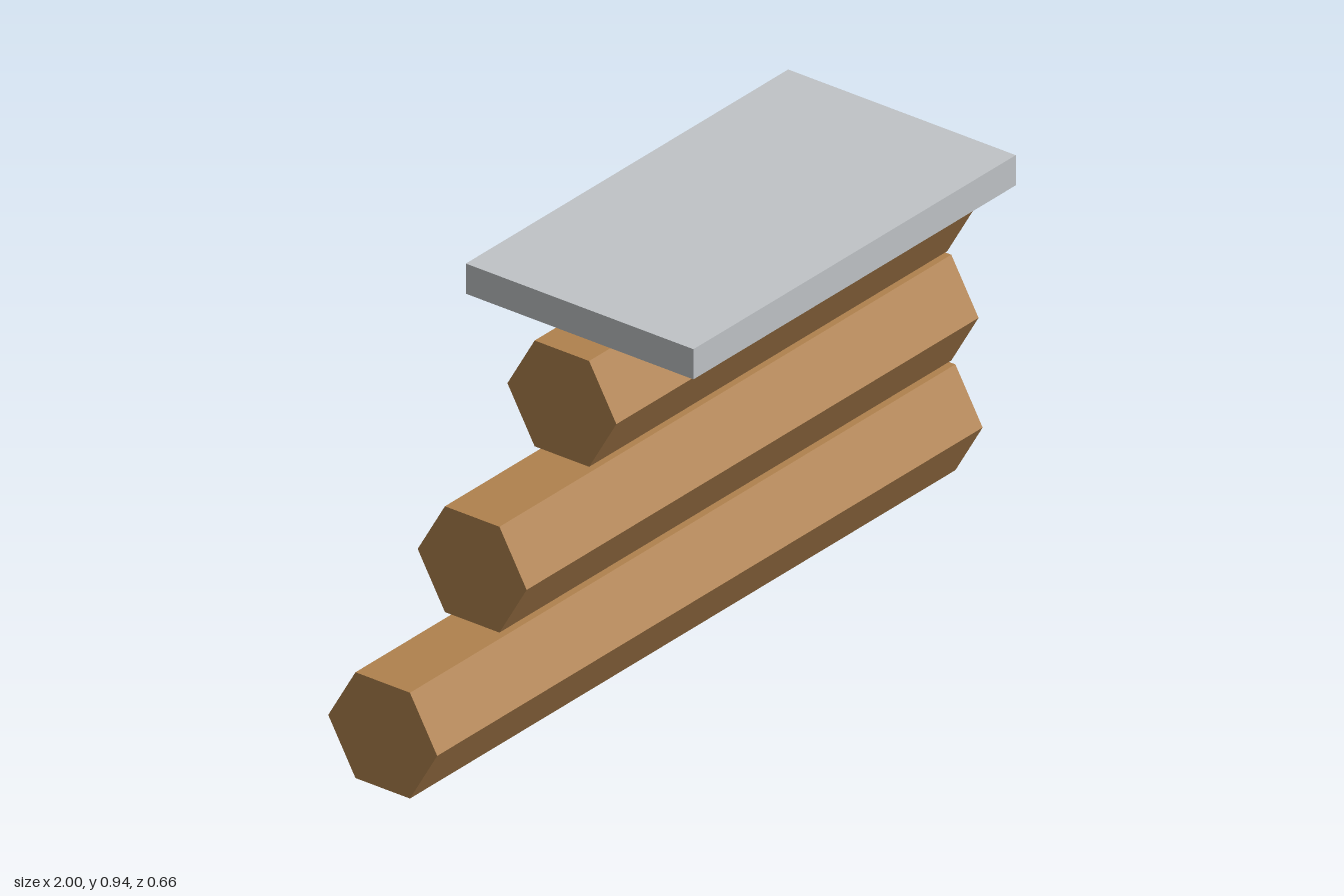
import * as THREE from 'three';

export function createModel() {
  const model = new THREE.Group();
  const wood = new THREE.MeshStandardMaterial({ color: 0xb0824e, flatShading: true });
  wood.name = 'wood';
  const stone = new THREE.MeshStandardMaterial({ color: 0xc0c4c7, flatShading: true });
  stone.name = 'pale grey';

  // Three stacked hexagonal logs, each shorter than the one below
  const radius = 0.158;
  const logs = [
    { name: 'bottomLog', x0: -1, x1: 1, y: 0.137 },
    { name: 'middleLog', x0: -0.672, x1: 0.985, y: 0.427 },
    { name: 'topLog', x0: -0.343, x1: 0.97, y: 0.716 },
  ];
  for (const { name, x0, x1, y } of logs) {
    const geometry = new THREE.CylinderGeometry(radius, radius, x1 - x0, 6);
    geometry.rotateZ(Math.PI / 2);
    const log = new THREE.Mesh(geometry, wood);
    log.name = name;
    log.position.set((x0 + x1) / 2, y, 0);
    model.add(log);
  }

  // Flat slab hovering just above the top log
  const slab = new THREE.Mesh(new THREE.BoxGeometry(1.182, 0.078, 0.66), stone);
  slab.name = 'slab';
  slab.position.set(0.313, 0.901, 0);
  model.add(slab);

  return model;
}
